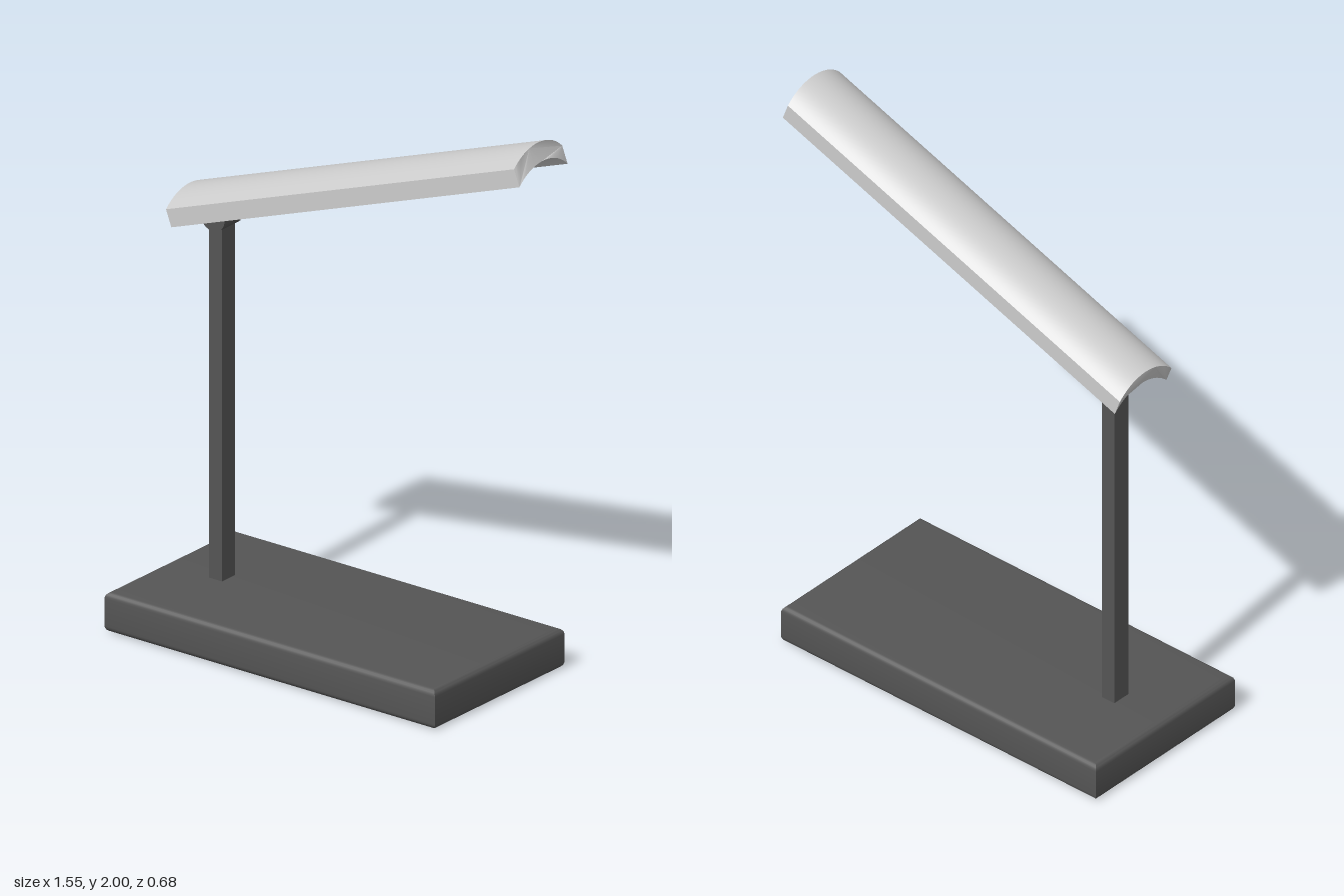
import * as THREE from 'three';
import { toCreasedNormals } from 'three/addons/utils/BufferGeometryUtils.js';

const dark = new THREE.MeshStandardMaterial({ color: 0x555555 });
const light = new THREE.MeshStandardMaterial({ color: 0xcccccc });

function part(name, geometry, material, x, y, z = 0) {
  const mesh = new THREE.Mesh(geometry, material);
  mesh.name = name;
  mesh.position.set(x, y, z);
  return mesh;
}

// Slab with rounded top and bottom edges and mitred upright corners
function baseGeometry(width, height, depth, r) {
  const w = width / 2 - r, d = depth / 2 - r;
  const shape = new THREE.Shape([[-w, -d], [w, -d], [w, d], [-w, d]].map(([x, y]) => new THREE.Vector2(x, y)));
  const geo = new THREE.ExtrudeGeometry(shape, {
    depth: height - 2 * r, bevelThickness: r, bevelSize: r, bevelSegments: 5,
  });
  geo.translate(0, 0, r).rotateX(-Math.PI / 2);
  return toCreasedNormals(geo, 0.6);
}

// Arched strip rising along +x, its thickness leaning square to the slope
function shadeGeometry(run, rise, halfWidth, arch, thickness, lean) {
  const radius = (halfWidth ** 2 + arch ** 2) / (2 * arch);
  const curve = (z) => Math.sqrt(Math.max(0, radius ** 2 - z ** 2)) - (radius - arch);
  const sweep = Math.asin(halfWidth / radius), n = 24;
  const inner = [], outer = [];
  for (let i = 0; i <= n; i++) {
    const z = radius * Math.sin(sweep * (2 * i / n - 1));
    inner.push(new THREE.Vector2(z, curve(z)));
    outer.unshift(new THREE.Vector2(z, curve(z) + thickness));
  }
  const geo = new THREE.ExtrudeGeometry(new THREE.Shape([...inner, ...outer]), { depth: run, bevelEnabled: false });
  geo.rotateY(Math.PI / 2);
  const p = geo.attributes.position;
  for (let i = 0; i < p.count; i++) {
    const x = p.getX(i), y = p.getY(i);
    const t = (y - curve(p.getZ(i))) / thickness; // 0 underside, 1 top side
    p.setXYZ(i, x - lean * t, y + rise * x / run, p.getZ(i));
  }
  return toCreasedNormals(geo, 0.5);
}

export function createModel() {
  const lamp = new THREE.Group();
  lamp.name = 'deskLamp';
  const postX = -0.556;

  lamp.add(part('base', baseGeometry(1.364, 0.14, 0.684, 0.022), dark, -0.092, 0));
  lamp.add(part('post', new THREE.BoxGeometry(0.054, 1.3, 0.07), dark, postX, 0.77));

  // Hinge pin lying front to back under the shade
  const hinge = new THREE.CylinderGeometry(0.05, 0.05, 0.1, 32).rotateX(Math.PI / 2);
  lamp.add(part('hinge', hinge, dark, postX, 1.42));

  lamp.add(part('shade', shadeGeometry(1.437, 0.508, 0.127, 0.053, 0.058, 0.022), light, -0.666, 1.381));
  return lamp;
}
